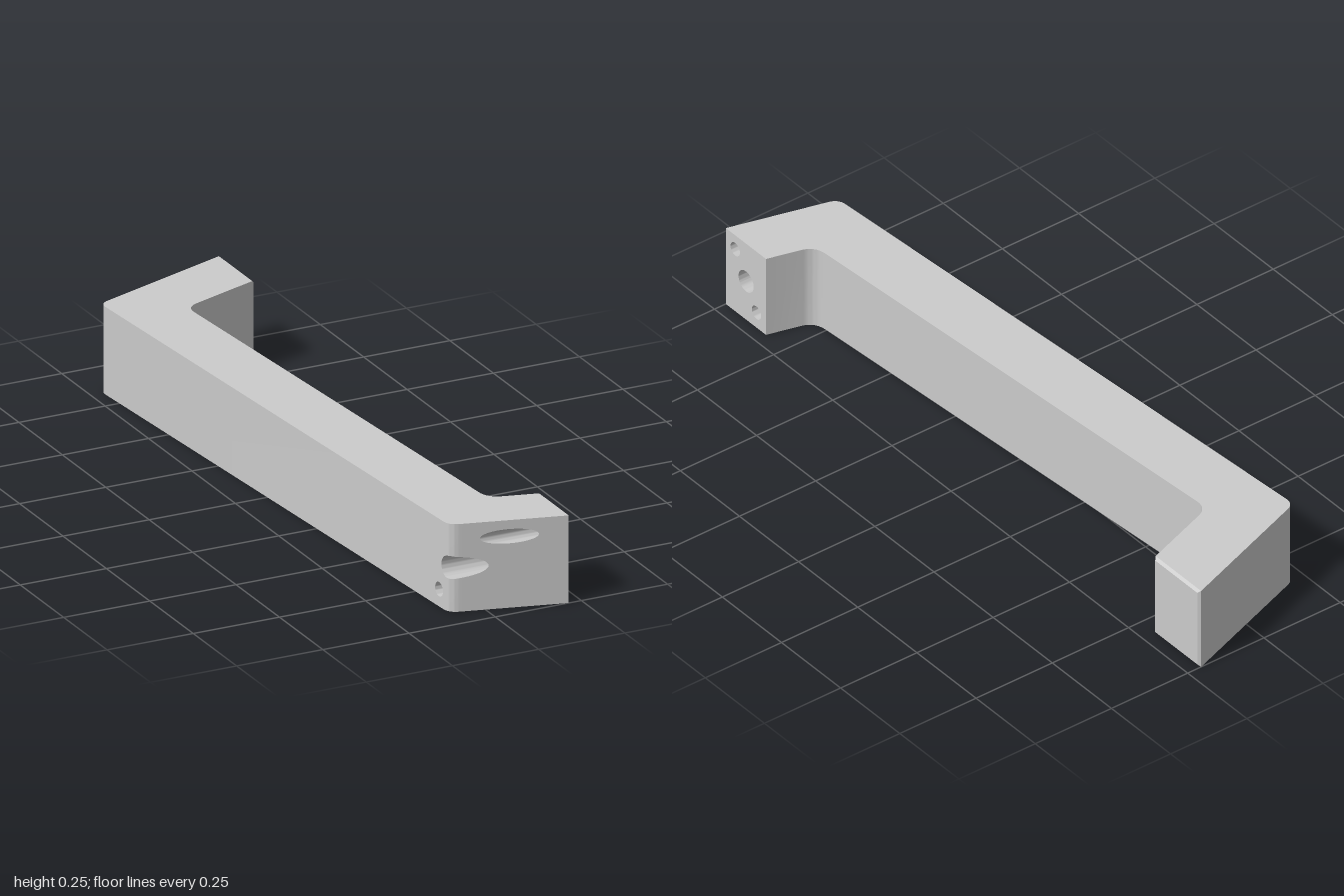
import * as THREE from 'three';
import { toCreasedNormals } from 'three/addons/utils/BufferGeometryUtils.js';

const H = 0.245;      // height of the bar
const FACE = 0.213;   // x of the mounting faces
const TIP = 0.206;    // x where the rear leg's chamfer starts
const CUT = 0.83;     // z where the drilled front foot begins

// Plan outline corners: x, z, fillet length
const CORNERS = [
  [FACE, CUT, 0], [0.08, 0.795, 0.04], [-0.027, -0.724, 0.04],
  [TIP, -0.808, 0], [TIP, -1, 0], [-0.2155, -0.847, 0.028],
  [-0.1, CUT, 0], [-0.094, 0.919, 0.028], [FACE, 1, 0],
];

// Bolt holes along x, from low to high: z, y, radius
const HOLES = [[0.87, 0.048, 0.02], [0.914, 0.123, 0.032], [0.96, 0.2, 0.02]];

function roundedOutline() {
  const n = CORNERS.length, points = [];
  const at = (i) => new THREE.Vector2(...CORNERS[(i + n) % n].slice(0, 2));
  CORNERS.forEach(([, , r], i) => {
    const p = at(i);
    if (!r) return points.push(p);
    const toward = (q) => q.sub(p).setLength(r).add(p);
    const curve = new THREE.QuadraticBezierCurve(toward(at(i - 1)), p, toward(at(i + 1)));
    points.push(...curve.getPoints(10));
  });
  return points;
}

// Collects triangles; corners run counter-clockwise seen from outside
function collector() {
  const data = [];
  const tri = (...corners) => corners.forEach((c) => data.push(...c));
  const quad = (a, b, c, d) => { tri(a, b, c); tri(a, c, d); };
  const mesh = (name, material) => {
    const g = new THREE.BufferGeometry();
    g.setAttribute('position', new THREE.Float32BufferAttribute(data, 3));
    const m = new THREE.Mesh(toCreasedNormals(g, 0.5), material);
    m.name = name;
    return m;
  };
  return { tri, quad, mesh };
}

export function createModel() {
  const group = new THREE.Group();
  group.name = 'pullHandle';
  const material = new THREE.MeshStandardMaterial({ color: 0xcccccc });
  const outline = roundedOutline();
  const cutIndex = outline.findIndex((p) => p.x < 0 && p.y === CUT);

  // Bar with both legs: flat top and bottom, side walls up to the drilled foot
  const bar = collector();
  const cap = new THREE.ShapeGeometry(new THREE.Shape(outline));
  const pos = cap.attributes.position, index = cap.index;
  for (let i = 0; i < index.count; i += 3) {
    const [a, b, c] = [0, 1, 2].map((k) => index.getX(i + k));
    const v = (j, y) => [pos.getX(j), y, pos.getY(j)];
    bar.tri(v(a, 0), v(b, 0), v(c, 0));
    bar.tri(v(a, H), v(c, H), v(b, H));
  }
  for (let i = 0; i < cutIndex; i++) {
    const a = outline[i], b = outline[i + 1];
    if (a.x === TIP && b.x === TIP) continue; // closed by the chamfered end
    bar.quad([a.x, 0, a.y], [b.x, 0, b.y], [b.x, H, b.y], [a.x, H, a.y]);
  }
  group.add(bar.mesh('handleBar', material));

  // Chamfered end of the rear leg
  const end = collector();
  const ring = (x, d) => [
    [x, d, -0.808 - d], [x, d, -1 + d], [x, H - d, -1 + d], [x, H - d, -0.808 - d],
  ];
  const outer = ring(TIP, 0), inner = ring(FACE, 0.007);
  for (let i = 0; i < 4; i++) {
    const j = (i + 1) % 4;
    end.quad(outer[i], outer[j], inner[j], inner[i]);
  }
  end.quad(...inner);
  group.add(end.mesh('rearLegEnd', material));

  // Drilled front foot: columns in z, with the back surface following the outline
  const nose = outline.slice(cutIndex);
  const backX = (z) => {
    const k = Math.max(1, nose.findIndex((p) => p.y >= z - 1e-9));
    const a = nose[k - 1], b = nose[k];
    return THREE.MathUtils.mapLinear(z, a.y, b.y, a.x, b.x);
  };
  let columns = nose.map((p) => p.y);
  for (const [z, , r] of HOLES) {
    for (let i = 0; i <= 20; i++) columns.push(z - r * Math.cos((Math.PI * i) / 20));
  }
  columns = columns.sort((a, b) => a - b).filter((z, i, all) => !i || z - all[i - 1] > 1e-5);

  // Heights where solid and hole alternate in one column
  const levels = (z) => [
    0,
    ...HOLES.flatMap(([cz, cy, r]) => {
      const h = Math.sqrt(Math.max(0, r * r - (z - cz) ** 2));
      return [cy - h, cy + h];
    }),
    H,
  ];

  const foot = collector(), bores = collector();
  for (let i = 1; i < columns.length; i++) {
    const z0 = columns[i - 1], z1 = columns[i];
    const x0 = backX(z0), x1 = backX(z1);
    const l0 = levels(z0), l1 = levels(z1);
    for (let k = 0; k < l0.length; k += 2) {
      foot.quad([FACE, l1[k], z1], [FACE, l0[k], z0], [FACE, l0[k + 1], z0], [FACE, l1[k + 1], z1]);
      foot.quad([x0, l0[k], z0], [x1, l1[k], z1], [x1, l1[k + 1], z1], [x0, l0[k + 1], z0]);
    }
    HOLES.forEach(([cz, , r], h) => {
      if (Math.abs((z0 + z1) / 2 - cz) > r) return;
      const lo = 1 + 2 * h, hi = lo + 1;
      bores.quad([x0, l0[lo], z0], [x1, l1[lo], z1], [FACE, l1[lo], z1], [FACE, l0[lo], z0]);
      bores.quad([FACE, l0[hi], z0], [FACE, l1[hi], z1], [x1, l1[hi], z1], [x0, l0[hi], z0]);
    });
  }
  group.add(foot.mesh('frontFoot', material), bores.mesh('boltHoles', material));
  return group;
}
